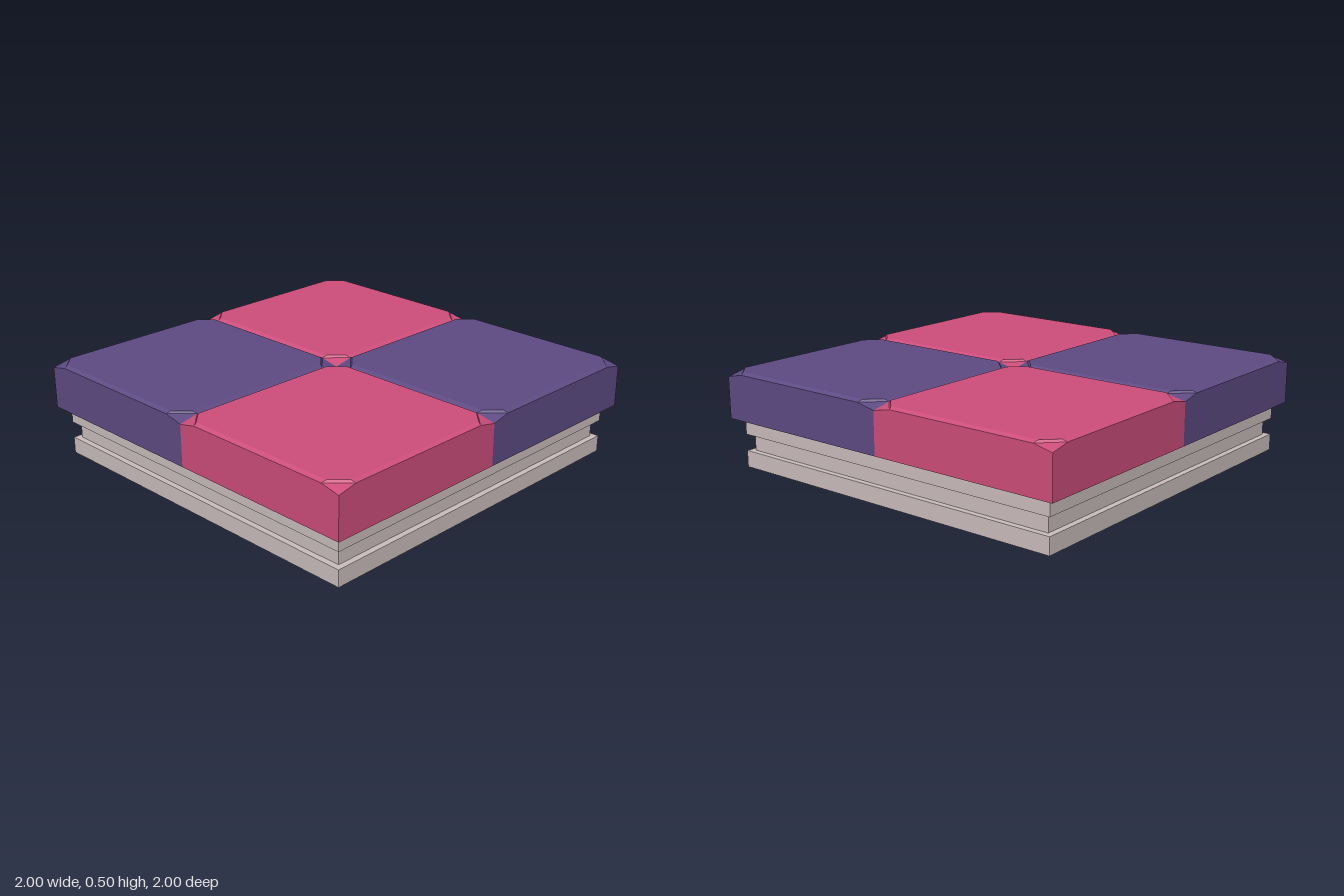
import * as THREE from 'three';
import { mergeGeometries } from 'three/addons/utils/BufferGeometryUtils.js';

const material = (name, color) => {
  const m = new THREE.MeshStandardMaterial({ color });
  m.name = name;
  return m;
};

// One side of a square tile: wall, bevel, dipped corner and a quarter of the top and bottom
function tileSide() {
  const low = 0.254, corner = 0.468, edge = 0.489, top = 0.5;
  const E = [-0.5, low, 0.5], F = [0.5, low, 0.5];
  const A = [-0.5, corner, 0.5], D = [0.5, corner, 0.5];
  const B = [-0.4, edge, 0.5], C = [0.4, edge, 0.5], G = [0.5, edge, 0.4];
  const P = [-0.41, top, 0.48], Q = [0.41, top, 0.48], R = [0.48, top, 0.41];
  const polygons = [
    [E, F, D, C, B, A],       // wall
    [B, C, Q, P],             // bevel
    [C, D, G, R, Q],          // dipped corner
    [[0, top, 0], P, Q, R],   // top
    [[0, low, 0], F, E],      // underside
  ];
  const points = [];
  for (const p of polygons)
    for (let i = 1; i < p.length - 1; i++) points.push(...p[0], ...p[i], ...p[i + 1]);
  const g = new THREE.BufferGeometry();
  g.setAttribute('position', new THREE.Float32BufferAttribute(points, 3));
  return g;
}

function tileGeometry() {
  const sides = [0, 1, 2, 3].map(k => tileSide().rotateY(k * Math.PI / 2));
  const g = mergeGeometries(sides);
  g.computeVertexNormals();
  return g;
}

export function createModel() {
  const model = new THREE.Group();
  model.name = 'checkeredFloorTile';
  const pink = material('pink', 0xce4e7b);
  const purple = material('purple', 0x5e4b84);
  const stone = material('paleStone', 0xccbebe);

  // Stepped base with a recessed middle layer
  [['baseBottom', 0.95, 0, 0.085], ['baseGroove', 0.92, 0.085, 0.17], ['baseTop', 0.95, 0.17, 0.254]]
    .forEach(([name, half, y0, y1]) => {
      const layer = new THREE.Mesh(new THREE.BoxGeometry(half * 2, y1 - y0, half * 2), stone);
      layer.position.y = (y0 + y1) / 2;
      layer.name = name;
      model.add(layer);
    });

  // Four tiles in alternating colours
  const geometry = tileGeometry();
  for (const x of [-0.5, 0.5]) {
    for (const z of [-0.5, 0.5]) {
      const tile = new THREE.Mesh(geometry, x * z > 0 ? purple : pink);
      tile.position.set(x, 0, z);
      tile.name = (z > 0 ? 'front' : 'back') + (x > 0 ? 'Left' : 'Right') + 'Tile';
      model.add(tile);
    }
  }
  return model;
}
